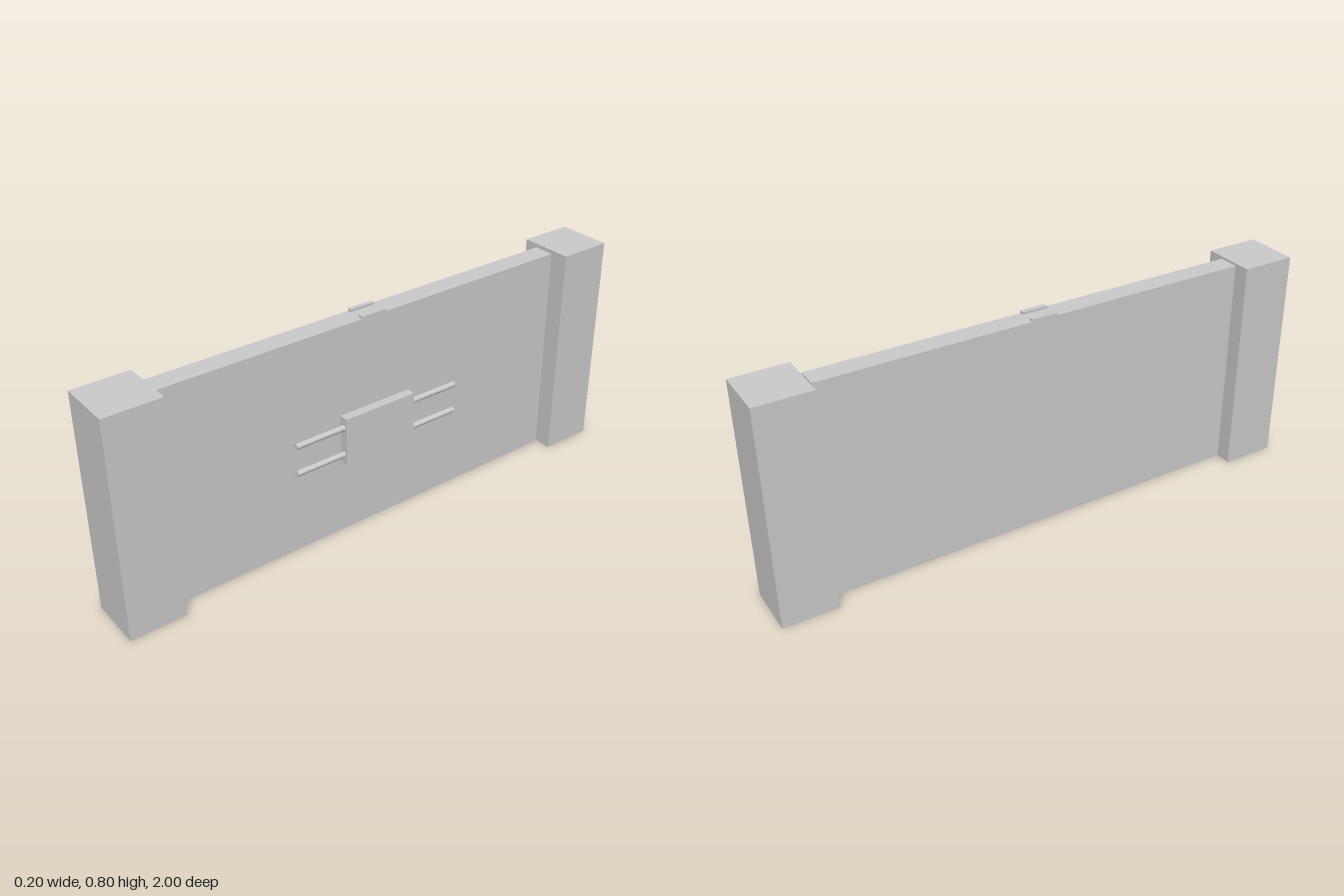
import * as THREE from 'three';

export function createModel() {
  const model = new THREE.Group();
  const material = new THREE.MeshStandardMaterial({ color: 0xcccccc, flatShading: true });

  const add = (name, geometry, x, y, z) => {
    const mesh = new THREE.Mesh(geometry, material);
    mesh.name = name;
    mesh.position.set(x, y, z);
    model.add(mesh);
    return mesh;
  };
  const box = (name, w, h, d, x, y, z) => add(name, new THREE.BoxGeometry(w, h, d), x, y, z);

  // End posts
  box('frontPost', 0.198, 0.8, 0.2, 0, 0.4, 0.9);
  box('backPost', 0.198, 0.8, 0.197, 0, 0.4, -0.9015);

  // Wall panel, leaning very slightly towards the front post
  const panel = new THREE.BoxGeometry(0.076, 0.79, 1.598);
  const p = panel.attributes.position;
  for (let i = 0; i < p.count; i++) p.setZ(i, p.getZ(i) + 0.006 * p.getY(i));
  panel.computeVertexNormals();
  add('wallPanel', panel, -0.001, 0.396, 0.003);

  // Small clips along the top edge
  box('topClipRight', 0.016, 0.03, 0.094, -0.032, 0.785, 0.007);
  box('topClipLeft', 0.018, 0.03, 0.094, 0.03, 0.785, 0.007);

  // Plate on the left face, with two rods running through it
  box('plate', 0.034, 0.177, 0.286, 0.053, 0.376, 0.002);
  for (const [name, y] of [['upperRod', 0.427], ['lowerRod', 0.323]]) {
    const rod = new THREE.CylinderGeometry(0.0105, 0.0105, 0.67, 10);
    rod.rotateX(Math.PI / 2);
    add(name, rod, 0.055, y, 0.002);
  }

  return model;
}
